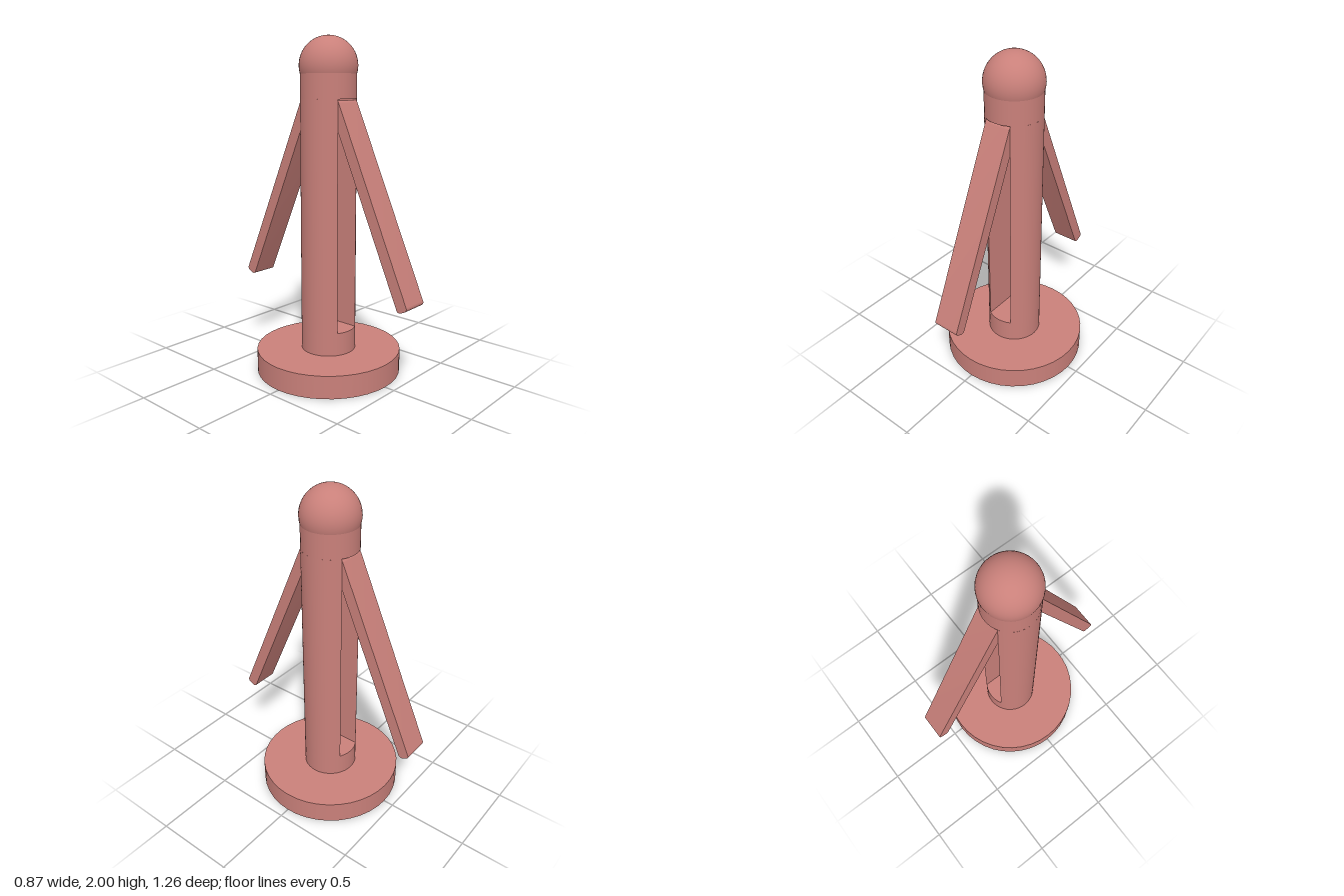
import * as THREE from 'three';
import { toCreasedNormals } from 'three/addons/utils/BufferGeometryUtils.js';

const material = new THREE.MeshStandardMaterial({ color: 0xc9807a });
const POST_R = 0.164, SLOT_HALF = 0.082, SLOT_BOTTOM = 0.275, SLOT_TOP = 1.645;

function add(parent, name, geometry, x = 0, y = 0, z = 0) {
  const mesh = new THREE.Mesh(geometry, material);
  mesh.name = name;
  mesh.position.set(x, y, z);
  parent.add(mesh);
  return mesh;
}

// Upright cylinder between two heights
function column(parent, name, radius, y0, y1) {
  return add(parent, name, new THREE.CylinderGeometry(radius, radius, y1 - y0, 40), 0, (y0 + y1) / 2, 0);
}

// Side wall of the slotted post: a circle segment cut at the slot face
function wallGeometry() {
  const a = Math.acos(SLOT_HALF / POST_R);
  const shape = new THREE.Shape();
  shape.absarc(0, 0, POST_R, -a, a, false);
  shape.closePath();
  const geo = new THREE.ExtrudeGeometry(shape, { depth: SLOT_TOP - SLOT_BOTTOM, bevelEnabled: false, curveSegments: 16 });
  geo.rotateX(-Math.PI / 2);
  return toCreasedNormals(geo, 0.6);
}

// Flat bar with rounded long-end corners, extruded across its width
function armGeometry(length, thickness, width, r) {
  const h = length / 2, t = thickness / 2;
  const s = new THREE.Shape();
  s.absarc(t - r, h - r, r, 0, Math.PI / 2);
  s.absarc(-t + r, h - r, r, Math.PI / 2, Math.PI);
  s.absarc(-t + r, -h + r, r, Math.PI, Math.PI * 1.5);
  s.absarc(t - r, -h + r, r, Math.PI * 1.5, Math.PI * 2);
  s.closePath();
  const geo = new THREE.ExtrudeGeometry(s, { depth: width, bevelEnabled: false, curveSegments: 6 });
  geo.translate(0, 0, -width / 2).rotateY(-Math.PI / 2);
  return toCreasedNormals(geo, 0.6);
}

export function createModel() {
  const model = new THREE.Group();
  model.name = 'slottedPost';

  column(model, 'base', 0.437, 0, 0.137);

  // Post: solid ends joined by two walls either side of the through slot
  const post = new THREE.Group();
  post.name = 'post';
  model.add(post);
  column(post, 'postFoot', POST_R, 0.137, SLOT_BOTTOM);
  column(post, 'postNeck', POST_R, SLOT_TOP, 1.83);
  const wall = wallGeometry();
  add(post, 'leftWall', wall, 0, SLOT_BOTTOM, 0);
  add(post, 'rightWall', wall, 0, SLOT_BOTTOM, 0).rotation.y = Math.PI;

  add(model, 'ballCap', new THREE.SphereGeometry(0.17, 40, 28), 0, 1.83, 0);

  // Arms swinging out of the slot at front and back
  const arm = armGeometry(1.22, 0.069, SLOT_HALF * 2, 0.02);
  ['frontArm', 'backArm'].forEach((name, i) => {
    const pivot = new THREE.Group();
    pivot.name = name;
    pivot.rotation.y = i * Math.PI;
    add(pivot, name + 'Bar', arm, 0, 1.072, 0.3555).rotation.x = -0.419;
    model.add(pivot);
  });

  return model;
}
